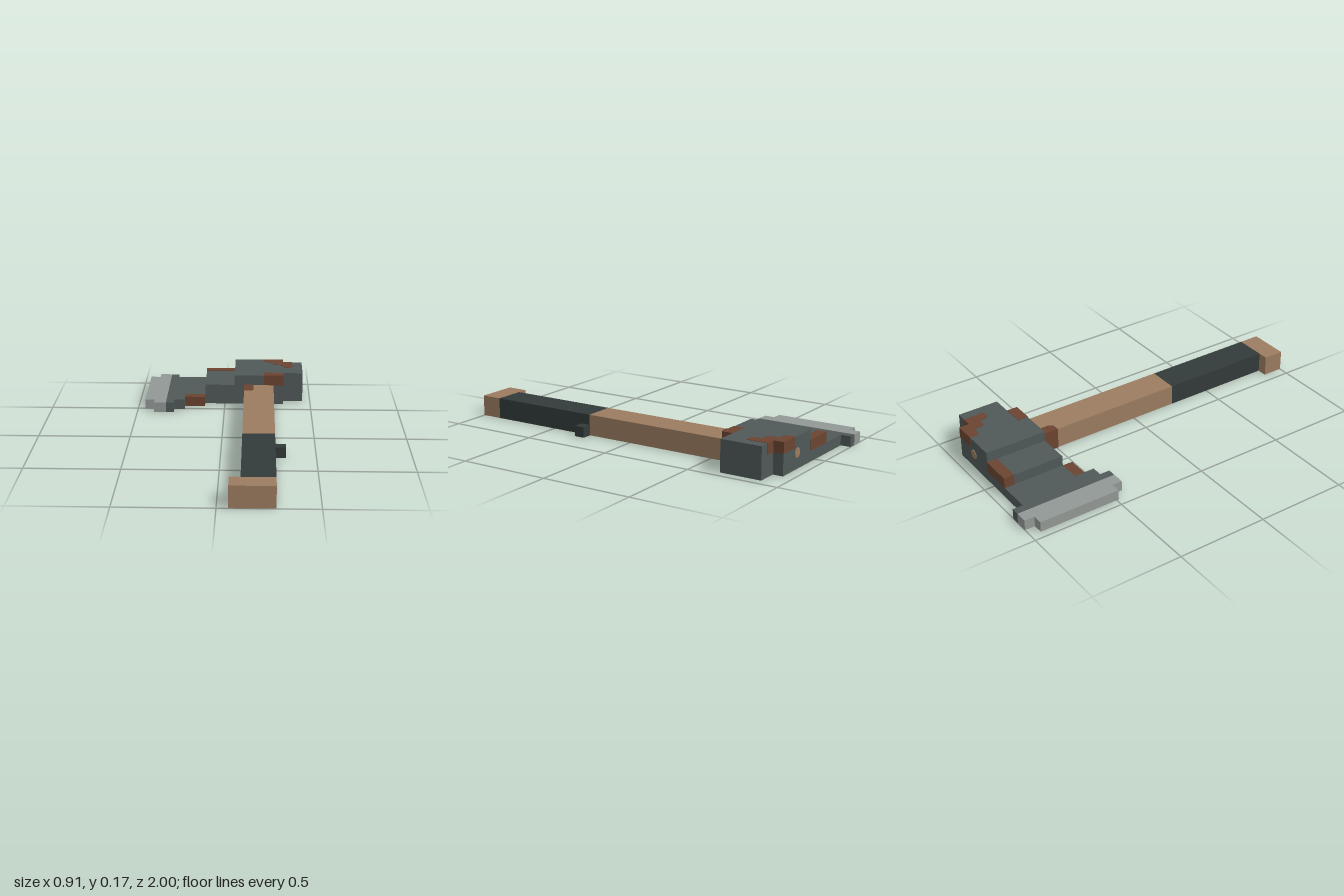
import * as THREE from 'three';

export function createModel() {
  const model = new THREE.Group();
  model.name = 'axe';

  const mat = (name, color) => {
    const m = new THREE.MeshStandardMaterial({ color });
    m.name = name;
    return m;
  };
  const steel = mat('dark steel', 0x505958);
  const edge = mat('sharpened steel', 0x929895);
  const rust = mat('rust', 0x6b4431);
  const wood = mat('wood', 0x9c7c60);
  const wrap = mat('grip wrap', 0x333a3a);

  const add = (name, geometry, material) => {
    const mesh = new THREE.Mesh(geometry, material);
    mesh.name = name;
    model.add(mesh);
    return mesh;
  };
  // Box given by its limits on each axis
  const box = (name, material, [x0, x1], [y0, y1], [z0, z1]) => {
    const g = new THREE.BoxGeometry(x1 - x0, y1 - y0, z1 - z0);
    g.translate((x0 + x1) / 2, (y0 + y1) / 2, (z0 + z1) / 2);
    return add(name, g, material);
  };
  // Upright slab from an [x, z] outline
  const slab = (name, material, outline, y0, y1) => {
    const shape = new THREE.Shape(outline.map(([x, z]) => new THREE.Vector2(x, -z)));
    const g = new THREE.ExtrudeGeometry(shape, { depth: y1 - y0, bevelEnabled: false });
    g.rotateX(-Math.PI / 2).translate(0, y0, 0);
    return add(name, g, material);
  };

  // Voxel layers
  const L1 = 0.057, L2 = 0.114, L3 = 0.171;
  const e = 0.002; // how far stains stand proud

  // Handle
  box('handle', wood, [0.113, 0.284], [0, L2], [-0.602, 0.257]);
  box('grip', wrap, [0.113, 0.284], [0, L2], [0.257, 0.885]);
  box('gripKnot', wrap, [0.284, 0.341], [0, L1], [0.255, 0.312]);
  box('pommel', wood, [0.057, 0.284], [0, L2], [0.885, 1]);
  slab('handleStain', rust, [
    [0.113 - e, -0.602], [0.168, -0.602], [0.168, -0.51], [0.15, -0.49], [0.113 - e, -0.49],
  ], -e / 2, L2 + e);

  // Head
  box('headBlock', steel, [0.057, 0.341], [0, L3], [-0.944, -0.602]);
  box('poll', steel, [0.341, 0.455], [0, L3], [-0.888, -0.659]);
  box('cheek', steel, [-0.115, 0.057], [0, L2], [-0.944, -0.602]);

  // Blade with its stepped corners
  slab('blade', steel, [
    [-0.335, -1], [-0.29, -1], [-0.29, -0.944], [-0.115, -0.944], [-0.115, -0.602],
    [-0.23, -0.602], [-0.23, -0.488], [-0.29, -0.488], [-0.29, -0.432], [-0.335, -0.432],
  ], 0, L1);
  slab('cuttingEdge', edge, [
    [-0.335, -1], [-0.403, -1], [-0.403, -0.944], [-0.458, -0.944],
    [-0.458, -0.488], [-0.403, -0.488], [-0.403, -0.432], [-0.335, -0.432],
  ], 0, L1);
  box('bladeHeelRust', rust, [-0.23, -0.115], [0, L1], [-0.602, -0.545]);

  // Rust on the head
  box('cheekRust', rust, [-0.115 - e, 0.057], [L1, L2 + e], [-0.944 - e, -0.888]);
  box('frontCornerRust', rust, [0.227, 0.341 + e], [L2, L3 + e], [-0.659, -0.602 + e]);
  slab('backCornerRust', rust, [
    [0.227, -0.944 - e], [0.341 + e, -0.944 - e], [0.341 + e, -0.888 - e], [0.398, -0.888 - e],
    [0.398, -0.775], [0.36, -0.77], [0.341, -0.79], [0.341, -0.825], [0.3, -0.825],
    [0.284, -0.845], [0.284, -0.888], [0.24, -0.888], [0.227, -0.905],
  ], L2, L3 + e);

  // Round end of the handle showing through the back of the head
  const peg = new THREE.CylinderGeometry(0.027, 0.027, 0.006, 8);
  peg.rotateY(Math.PI / 8).rotateX(Math.PI / 2).translate(0.199, 0.085, -0.944);
  add('handlePeg', peg, wood);

  return model;
}
